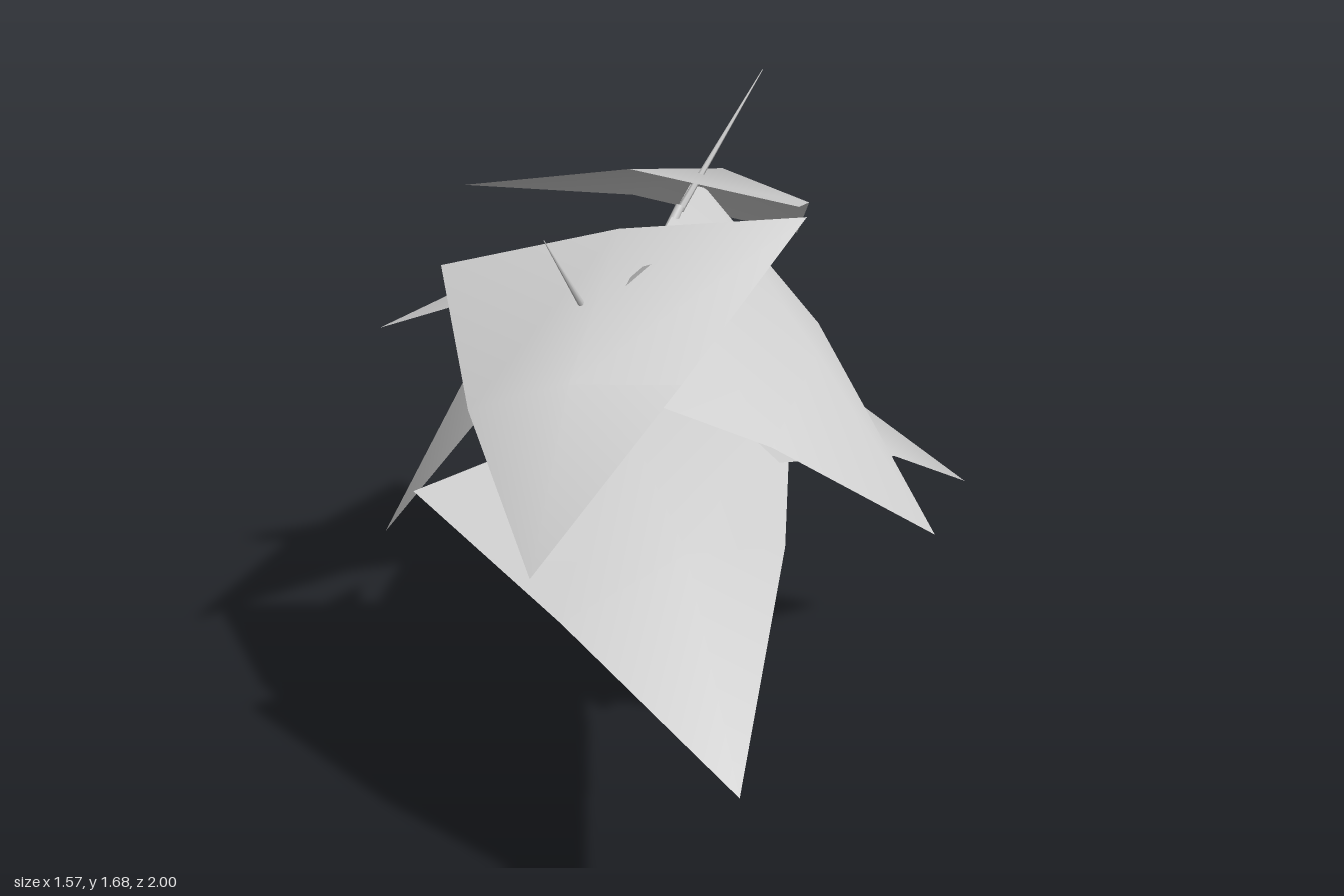
import * as THREE from 'three';

const paleGrey = new THREE.MeshStandardMaterial({ color: 0xcccccc, side: THREE.DoubleSide });
paleGrey.name = 'paleGrey';
const v = (p) => new THREE.Vector3(...p);

// Bent three-cornered leaf: tip, long-side corner and short-side corner, arched up along the vein
function leaf(tip, long, short) {
  const T = v(tip), L = v(long), S = v(short);
  const n = T.clone().sub(L).cross(S.clone().sub(L)).normalize();
  if (n.y < 0) n.negate();
  const k = T.distanceTo(L) / 1.04;
  const side = L.clone().sub(S).normalize();
  const mix = (a, b, bulge, spread = 0) => a.clone().lerp(b, 0.5)
    .addScaledVector(n, bulge * k).addScaledVector(side, spread * k);
  const base = mix(L, S, 0.065);
  const vein = mix(L.clone().lerp(S, 0.5), T, 0.125);
  const midL = mix(L, T, 0.04, 0.025);
  const midS = mix(S, T, 0.05, -0.025);
  const g = new THREE.BufferGeometry().setFromPoints([L, base, S, midL, vein, midS, T]);
  g.setIndex([0, 4, 1, 0, 3, 4, 1, 4, 5, 1, 5, 2, 3, 6, 4, 4, 6, 5]);
  g.computeVertexNormals();
  if (g.attributes.normal.getY(4) < 0) { // keep the front side upward
    g.setIndex([...g.index.array].reverse());
    g.computeVertexNormals();
  }
  return new THREE.Mesh(g, paleGrey);
}

// Tapered round rod between two points
function rod(a, b, r0, r1, sides = 10) {
  const A = v(a), B = v(b), d = B.clone().sub(A);
  const mesh = new THREE.Mesh(new THREE.CylinderGeometry(r1, r0, d.length(), sides), paleGrey);
  mesh.position.copy(A).lerp(B, 0.5);
  mesh.quaternion.setFromUnitVectors(new THREE.Vector3(0, 1, 0), d.normalize());
  return mesh;
}

// Chain of rods tapering from r0 to r1
function stem(points, r0, r1) {
  const g = new THREE.Group(), n = points.length - 1;
  for (let i = 0; i < n; i++) {
    g.add(rod(points[i], points[i + 1], r0 + (r1 - r0) * i / n, r0 + (r1 - r0) * (i + 1) / n));
  }
  return g;
}

export function createModel() {
  const model = new THREE.Group();
  const add = (name, obj) => { obj.name = name; model.add(obj); };

  // Leaves: tip, long-side corner, short-side corner
  add('backLeaf', leaf([0.21, 0.85, -1.0], [-0.68, 1.21, -0.25], [0.34, 1.155, -0.1]));
  add('topLeaf', leaf([0.68, 1.16, -0.31], [-0.31, 1.445, -0.455], [0.2, 1.465, 0.24]));
  add('frontRightLeaf', leaf([-0.58, 0.545, 1.0], [0.3, 0.95, 0.12], [-0.785, 0.935, 0.065]));
  add('frontLeaf', leaf([0.22, 0.785, 0.735], [0.36, 1.37, -0.37], [-0.47, 1.21, 0.28]));
  add('upperRightLeaf', leaf([-0.71, 0.845, 0.43], [0.11, 1.49, 0.37], [-0.56, 1.37, -0.15]));
  add('rightLeaf', leaf([-0.72, 0.69, -0.22], [-0.275, 1.435, 0.29], [-0.02, 1.02, -0.37]));
  add('leftLeaf', leaf([0.785, 0.585, 0.3], [0.03, 0.95, -0.53], [-0.03, 0.94, 0.46]));

  // Two crossing trunks
  add('longTrunk', stem([[-0.012, 0.005, -0.11], [-0.095, 0.5, 0]], 0.021, 0.018));
  add('shortTrunk', stem([[-0.11, 0.175, 0.015], [-0.09, 0.5, 0], [-0.07, 0.95, -0.03]], 0.021, 0.018));

  // Branches rising to the leaves
  const fork = [-0.093, 0.5, 0];
  add('leftBranch', stem([fork, [0.03, 0.74, 0.01], [0.2, 0.88, 0.05]], 0.018, 0.012));
  add('frontRightBranch', stem([fork, [-0.14, 0.7, 0.05], [-0.24, 0.81, 0.15], [-0.365, 0.93, 0.36]], 0.018, 0.012));
  add('upperRightBranch', stem([fork, [-0.17, 0.87, 0.06], [-0.28, 1.17, 0.16], [-0.37, 1.3, 0.19]], 0.018, 0.013));
  add('rightBranch', stem([fork, [-0.14, 0.8, 0], [-0.3, 1.0, -0.04]], 0.016, 0.012));
  add('topBranch', stem([[-0.07, 0.95, -0.03], [0, 1.23, -0.11], [0.14, 1.38, -0.15]], 0.018, 0.012));
  add('backBranch', stem([[-0.08, 0.8, -0.02], [-0.06, 0.95, -0.16], [0, 1.13, -0.45]], 0.017, 0.012));
  add('frontBranch', stem([[-0.08, 0.85, 0], [-0.04, 1.1, 0.11], [-0.005, 1.21, 0.19]], 0.016, 0.01));

  // Thin shoots piercing the two upper leaves
  add('topSpike', rod([0.14, 1.37, -0.15], [0.455, 1.675, -0.21], 0.01, 0.001, 6));
  add('rightSpike', rod([-0.37, 1.29, 0.19], [-0.53, 1.53, 0.25], 0.01, 0.001, 6));
  return model;
}
